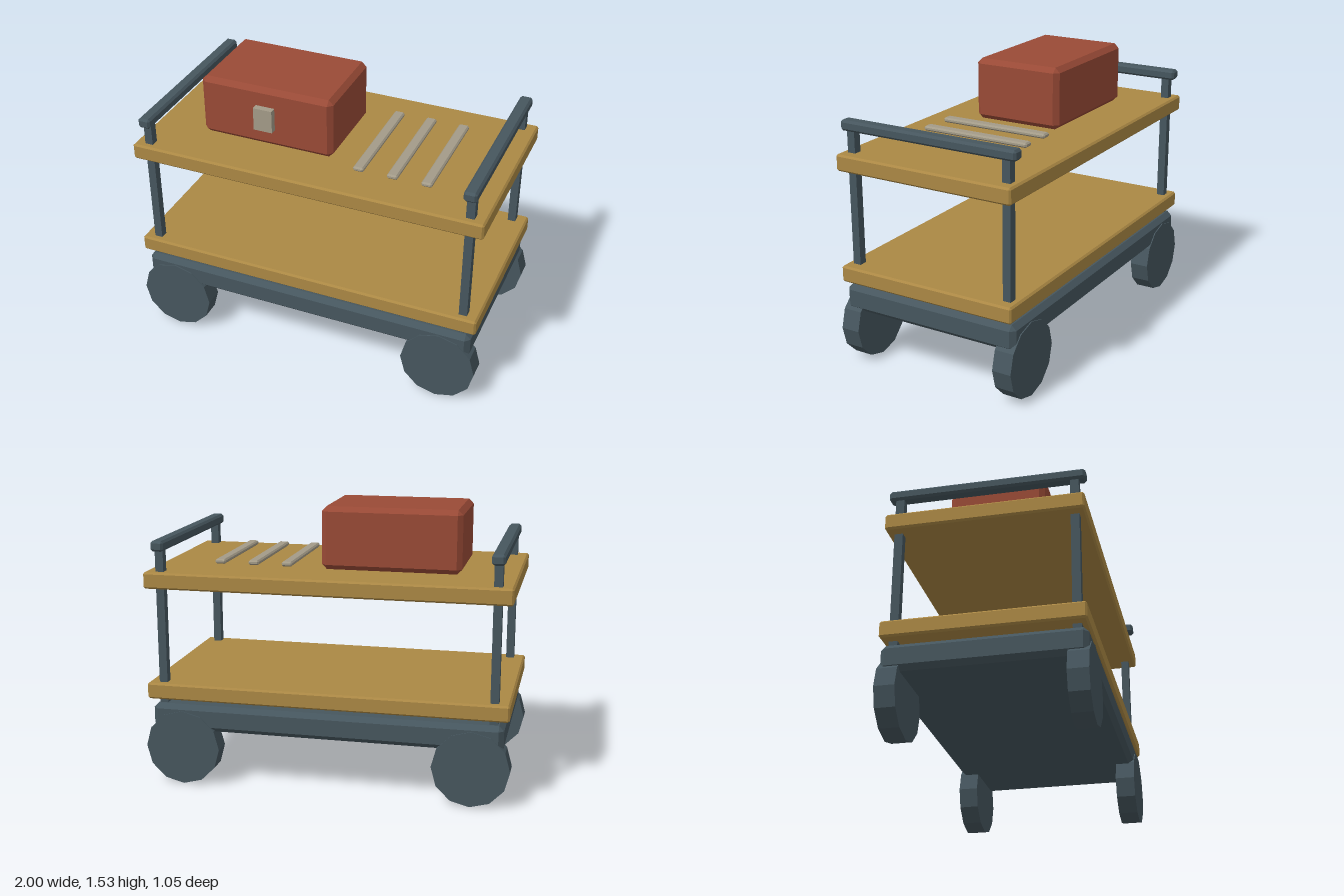
import * as THREE from 'three';
import { ConvexGeometry } from 'three/addons/geometries/ConvexGeometry.js';

const mat = (color) => new THREE.MeshStandardMaterial({ color, flatShading: true });

// Box with every edge cut by a flat chamfer c
function chamferBox(w, h, d, c) {
  const pts = [];
  for (const sx of [-1, 1]) for (const sy of [-1, 1]) for (const sz of [-1, 1]) {
    for (let axis = 0; axis < 3; axis++) {
      const inset = [c, c, c];
      inset[axis] = 0;
      pts.push(new THREE.Vector3(
        sx * (w / 2 - inset[0]), sy * (h / 2 - inset[1]), sz * (d / 2 - inset[2])));
    }
  }
  return new ConvexGeometry(pts);
}

export function createModel() {
  const group = new THREE.Group();
  const steel = mat(0x46565e);
  const wood = mat(0xab8844);
  const red = mat(0x994a36);
  const metal = mat(0xa39b88);

  const add = (name, geometry, material, x, y, z) => {
    const mesh = new THREE.Mesh(geometry, material);
    mesh.name = name;
    mesh.position.set(x, y, z);
    group.add(mesh);
    return mesh;
  };

  // Base frame and the two shelves
  add('chassis', chamferBox(1.92, 0.145, 1.04, 0.027), steel, 0, 0.377, 0);
  add('lowerShelf', chamferBox(1.975, 0.09, 1.04, 0.01), wood, 0, 0.52, 0);
  add('upperShelf', chamferBox(1.975, 0.09, 1.04, 0.01), wood, 0, 1.135, 0);

  // Twelve-sided wheels and corner posts
  const wheelGeo = new THREE.CylinderGeometry(0.208, 0.208, 0.107, 12).rotateX(Math.PI / 2);
  const postGeo = new THREE.BoxGeometry(0.045, 0.91, 0.045);
  for (const sx of [-1, 1]) {
    const side = sx > 0 ? 'Left' : 'Right';
    for (const sz of [-1, 1]) {
      const end = sz > 0 ? 'front' : 'back';
      add(`${end}${side}Wheel`, wheelGeo, steel, sx * 0.792, 0.208, sz * 0.472);
      add(`${end}${side}Post`, postGeo, steel, sx * 0.905, 0.865, sz * 0.462);
    }
    // Push bar across each end
    add(`handle${side}`, chamferBox(0.07, 0.057, 1.04, 0.012), steel, sx * 0.905, 1.322, 0);
  }

  // Tool case with its latch
  add('toolCase', chamferBox(0.76, 0.342, 0.516, 0.027), red, -0.31, 1.355, 0);
  add('caseLatch', new THREE.BoxGeometry(0.107, 0.13, 0.05), metal, -0.311, 1.357, 0.27);

  // Row of bars laid on the upper shelf
  for (let i = 0; i < 3; i++) {
    add(`bar${i + 1}`, chamferBox(0.058, 0.026, 0.635, 0.008), metal, 0.25 + i * 0.187, 1.213, 0.019);
  }
  return group;
}
